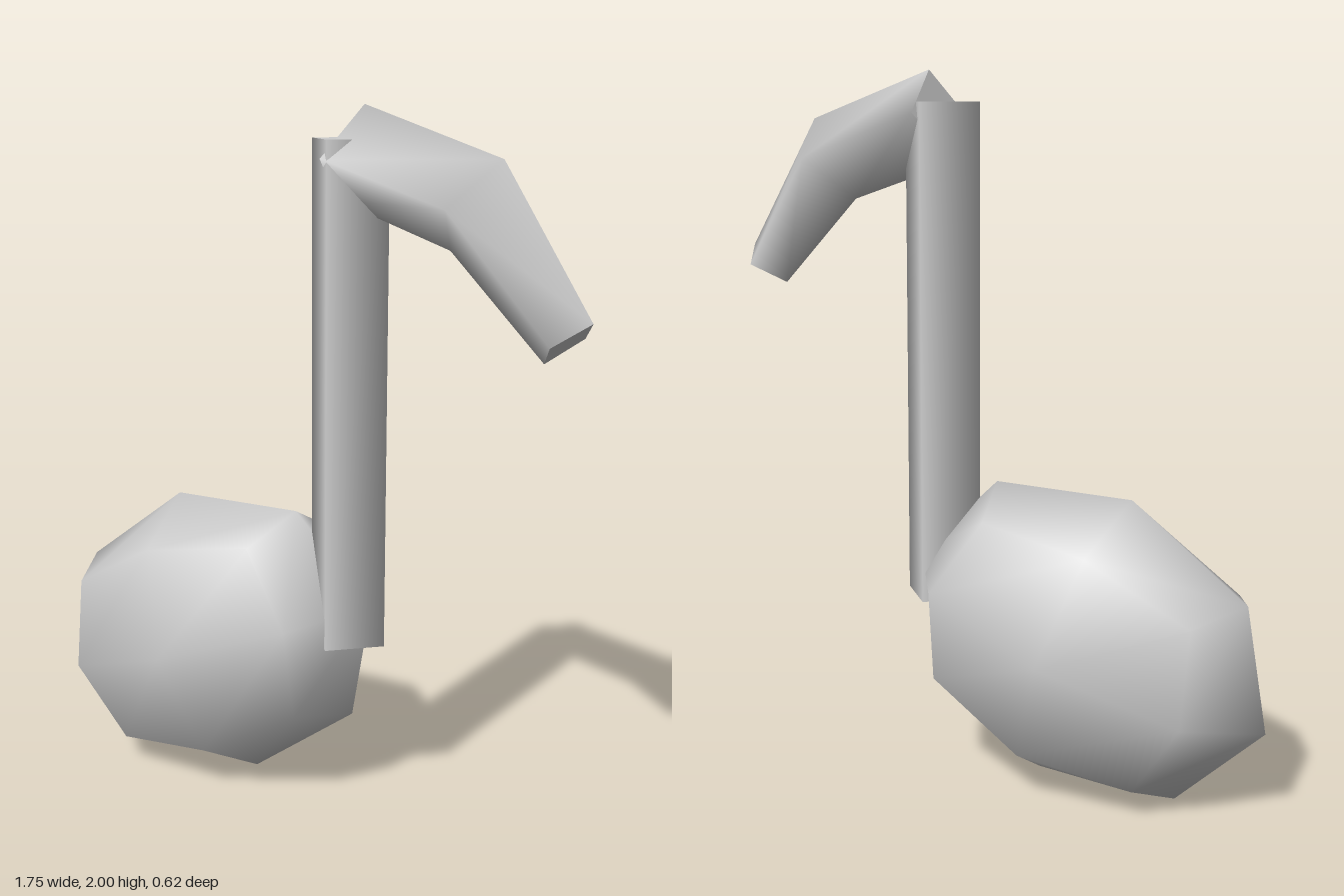
import * as THREE from 'three';
import { mergeVertices } from 'three/addons/utils/BufferGeometryUtils.js';

const gray = new THREE.MeshStandardMaterial({ color: 0xcccccc });
gray.name = 'gray';

function part(name, geometry) {
  const mesh = new THREE.Mesh(geometry, gray);
  mesh.name = name;
  return mesh;
}

// Unit ball made by inflating a box with two segments per side
function cubeBall() {
  const box = new THREE.BoxGeometry(2, 2, 2, 2, 2, 2);
  box.deleteAttribute('uv');
  box.deleteAttribute('normal');
  const geo = mergeVertices(box);
  const pos = geo.attributes.position;
  const v = new THREE.Vector3();
  for (let i = 0; i < pos.count; i++) {
    v.fromBufferAttribute(pos, i).normalize();
    pos.setXYZ(i, v.x, v.y, v.z);
  }
  return geo;
}

function indexed(points, index) {
  const geo = new THREE.BufferGeometry();
  geo.setAttribute('position', new THREE.Float32BufferAttribute(points.flat(), 3));
  geo.setIndex(index);
  geo.computeVertexNormals();
  return geo;
}

export function createModel() {
  const model = new THREE.Group();
  model.name = 'musicNote';

  // Tilted oval head
  const headGeo = cubeBall();
  headGeo.scale(0.569, 0.438, 0.31);
  headGeo.rotateZ(0.322);
  headGeo.translate(-0.34, 0.425, 0);
  headGeo.computeVertexNormals();
  model.add(part('noteHead', headGeo));

  // Four-sided stem with a corner facing the front
  const stem = part('stem', new THREE.CylinderGeometry(0.122, 0.122, 1.42, 4));
  stem.position.set(0.122, 1.2, 0);
  model.add(stem);

  // Bent flag: corners of each section run top, front, bottom, back
  const sections = [
    [[0.165, 2.0, 0], [0.10, 1.86, 0.12], [0.08, 1.745, 0], [0.145, 1.88, -0.125]],
    [[0.605, 1.87, 0.06], [0.515, 1.75, 0.2], [0.46, 1.635, 0.06], [0.55, 1.755, -0.08]],
    [[0.875, 1.485, 0.1], [0.80, 1.43, 0.185], [0.745, 1.372, 0.09], [0.815, 1.43, 0]],
  ];
  const index = [];
  for (let s = 0; s < sections.length - 1; s++) {
    for (let i = 0; i < 4; i++) {
      const j = (i + 1) % 4;
      const a = s * 4 + i, b = s * 4 + j;
      index.push(a, b, a + 4, b, b + 4, a + 4);
    }
  }
  const flag = new THREE.Group();
  flag.name = 'flag';
  flag.add(
    part('flagSides', indexed(sections.flat(), index)),
    part('flagStartCap', indexed(sections[0], [0, 2, 1, 0, 3, 2])),
    part('flagTipCap', indexed(sections[2], [0, 1, 2, 0, 2, 3])),
  );
  model.add(flag);

  return model;
}
